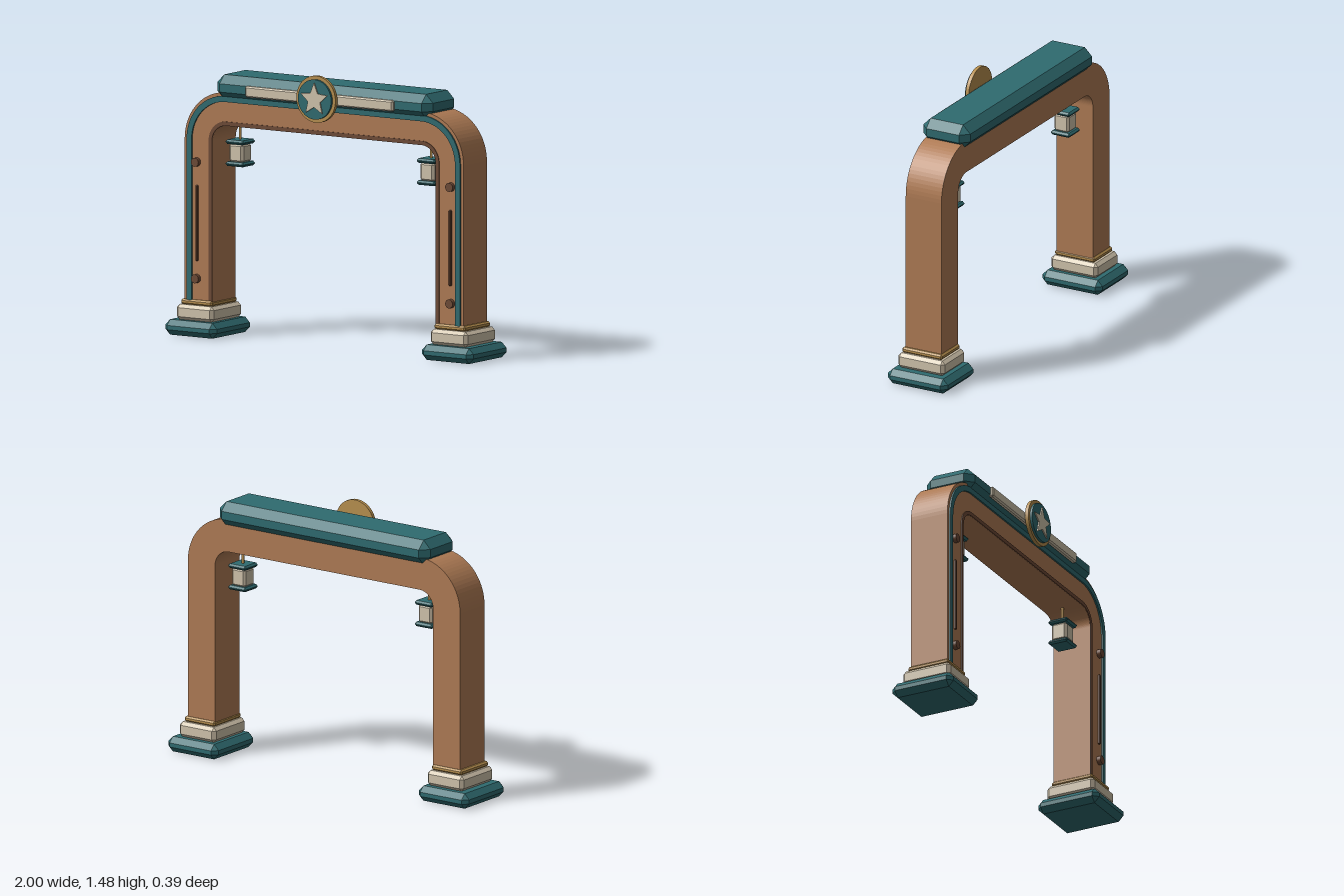
import * as THREE from 'three';
import { ConvexGeometry } from 'three/addons/geometries/ConvexGeometry.js';

const paint = (name, color) => {
  const m = new THREE.MeshStandardMaterial({ color });
  m.name = name;
  return m;
};

export function createModel() {
  const teal = paint('teal', 0x2f6b70);
  const copper = paint('copper brown', 0xb07c55);
  const cream = paint('cream', 0xd2c5ad);
  const gold = paint('gold', 0xb8904f);
  const dark = paint('dark brown', 0x6e4a36);
  const model = new THREE.Group();
  model.name = 'archway';

  const add = (parent, name, geometry, material, x = 0, y = 0, z = 0) => {
    const mesh = new THREE.Mesh(geometry, material);
    mesh.name = name;
    mesh.position.set(x, y, z);
    parent.add(mesh);
    return mesh;
  };

  // Box with every edge chamfered by b
  const chamferBox = (w, h, d, b) => {
    const pts = [];
    for (const sx of [-1, 1]) for (const sy of [-1, 1]) for (const sz of [-1, 1]) {
      const x = w / 2, y = h / 2, z = d / 2;
      pts.push(new THREE.Vector3(sx * x, sy * (y - b), sz * (z - b)),
        new THREE.Vector3(sx * (x - b), sy * y, sz * (z - b)),
        new THREE.Vector3(sx * (x - b), sy * (y - b), sz * z));
    }
    return new ConvexGeometry(pts);
  };

  // Arch-shaped band between two corner radii around shared corner centres
  const CX = 0.635, CY = 1.06;
  const archBand = (rOut, rIn, y0, depth) => {
    const s = new THREE.Shape();
    s.moveTo(CX + rOut, y0);
    s.lineTo(CX + rOut, CY);
    s.absarc(CX, CY, rOut, 0, Math.PI / 2, false);
    s.lineTo(-CX, CY + rOut);
    s.absarc(-CX, CY, rOut, Math.PI / 2, Math.PI, false);
    s.lineTo(-CX - rOut, y0);
    s.lineTo(-CX - rIn, y0);
    s.lineTo(-CX - rIn, CY);
    s.absarc(-CX, CY, rIn, Math.PI, Math.PI / 2, true);
    s.lineTo(CX, CY + rIn);
    s.absarc(CX, CY, rIn, Math.PI / 2, 0, true);
    s.lineTo(CX + rIn, y0);
    s.closePath();
    return new THREE.ExtrudeGeometry(s, { depth, bevelEnabled: false, curveSegments: 10 });
  };

  // Main arch with its two front trims
  add(model, 'arch', archBand(0.27, 0.09, 0.17, 0.22), copper, 0, 0, -0.12);
  add(model, 'outerTrim', archBand(0.252, 0.22, 0.19, 0.012), teal, 0, 0, 0.097);
  add(model, 'innerTrim', archBand(0.113, 0.091, 0.19, 0.006), dark, 0, 0, 0.098);

  // Header beam and its inlay
  add(model, 'headerBeam', chamferBox(1.4, 0.135, 0.29, 0.045), teal, 0, 1.358, -0.01);
  add(model, 'headerInlay', chamferBox(0.96, 0.06, 0.03, 0.008), cream, 0, 1.353, 0.138);

  // Medallion
  const medallion = new THREE.Group();
  medallion.name = 'medallion';
  medallion.position.set(0, 1.355, 0);
  model.add(medallion);
  const disc = (r, d, n) => new THREE.CylinderGeometry(r, r, d, n).rotateX(Math.PI / 2);
  add(medallion, 'medallionRim', disc(0.127, 0.02, 40), gold, 0, 0, 0.168);
  add(medallion, 'medallionFace', disc(0.108, 0.014, 40), teal, 0, 0, 0.184);
  const star = new THREE.Shape();
  for (let i = 0; i < 10; i++) {
    const r = i % 2 ? 0.041 : 0.09, a = Math.PI / 2 + i * Math.PI / 5;
    star[i ? 'lineTo' : 'moveTo'](r * Math.cos(a), r * Math.sin(a));
  }
  star.closePath();
  add(medallion, 'medallionStar', new THREE.ExtrudeGeometry(star, { depth: 0.008, bevelEnabled: false }), cream, 0, 0, 0.19);

  for (const [side, s] of [['left', 1], ['right', -1]]) {
    // Stepped foot
    const foot = new THREE.Group();
    foot.name = side + 'Foot';
    model.add(foot);
    add(foot, 'footBase', chamferBox(0.334, 0.083, 0.37, 0.03), teal, s * 0.833, 0.0415, -0.012);
    add(foot, 'footBlock', chamferBox(0.242, 0.084, 0.288, 0.018), cream, s * 0.824, 0.124, -0.011);
    add(foot, 'footCollar', chamferBox(0.202, 0.03, 0.246, 0.009), gold, s * 0.822, 0.18, -0.008);

    // Leg studs and slot
    for (const y of [0.31, 0.94]) add(model, side + 'Stud', disc(0.024, 0.024, 16), dark, s * 0.825, y, 0.111);
    add(model, side + 'Slot', chamferBox(0.014, 0.41, 0.016, 0.004), dark, s * 0.822, 0.61, 0.105);

    // Hanging lantern
    const lantern = new THREE.Group();
    lantern.name = side + 'Lantern';
    lantern.position.set(s * 0.62, 0, -0.01);
    model.add(lantern);
    add(lantern, 'lanternRod', new THREE.CylinderGeometry(0.008, 0.008, 0.11, 10), gold, 0, 1.11, 0);
    add(lantern, 'lanternCap', chamferBox(0.12, 0.024, 0.12, 0.01), teal, 0, 1.055, 0);
    add(lantern, 'lanternBody', chamferBox(0.092, 0.104, 0.092, 0.013), cream, 0, 0.995, 0);
    add(lantern, 'lanternBase', chamferBox(0.12, 0.024, 0.12, 0.01), teal, 0, 0.936, 0);
  }
  return model;
}
